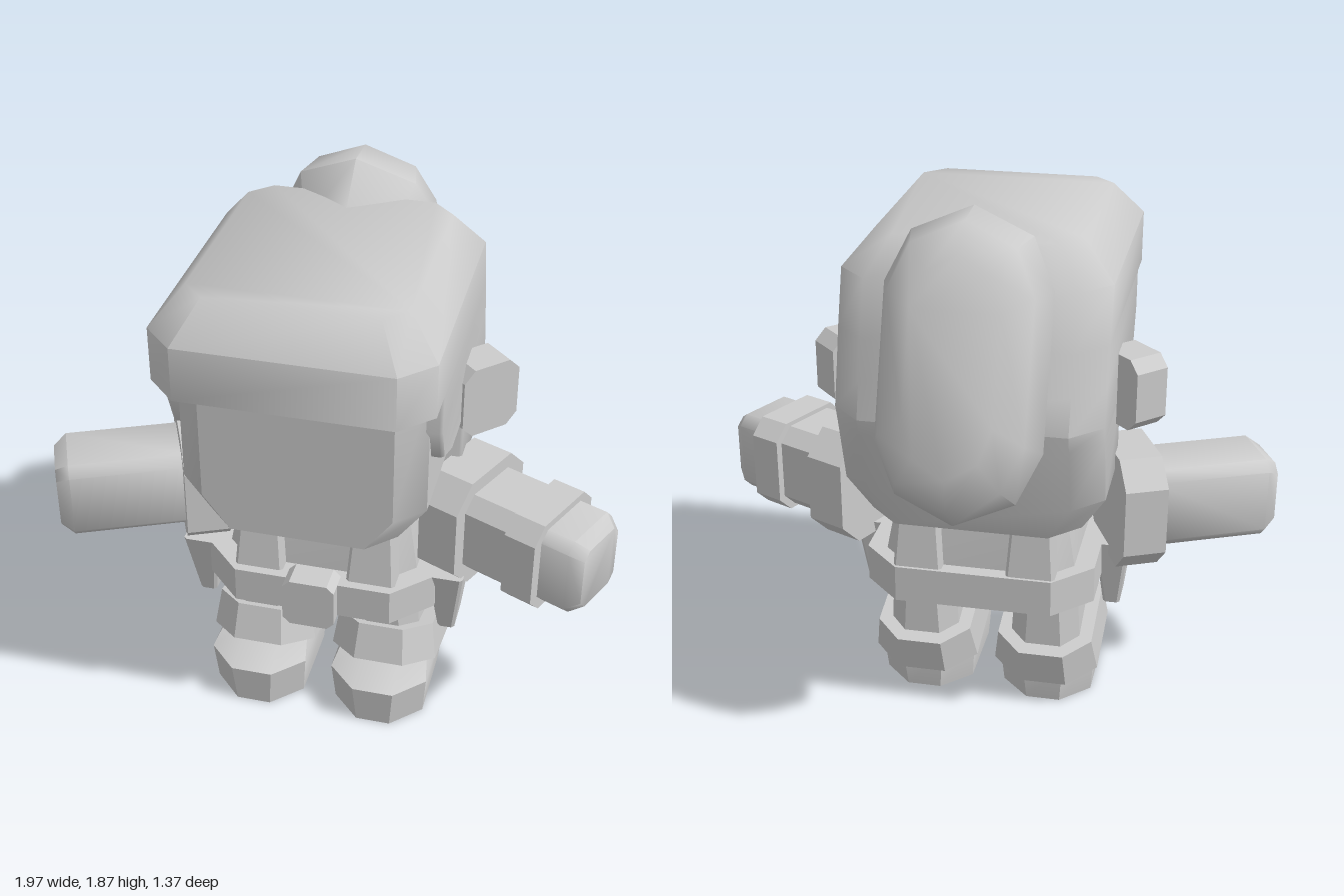
import * as THREE from 'three';
import { toCreasedNormals } from 'three/addons/utils/BufferGeometryUtils.js';

const V = (x, y, z) => new THREE.Vector3(x, y, z);

// Eight-sided ring: a rectangle with front and back corners cut off.
function ring(y, hx, zf, zb, cf = 0.08, cb = cf) {
  return [
    V(hx, y, zf - cf), V(hx, y, zb + cb), V(hx - cb, y, zb), V(cb - hx, y, zb),
    V(-hx, y, zb + cb), V(-hx, y, zf - cf), V(cf - hx, y, zf), V(hx - cf, y, zf),
  ];
}

// Skin a stack of rings, bottom to top, and cap both ends.
function loft(rings, crease = 0.6) {
  const pos = [];
  const tri = (a, b, c) => {
    const area = b.clone().sub(a).cross(c.clone().sub(a)).length();
    if (area > 1e-7) pos.push(...a.toArray(), ...b.toArray(), ...c.toArray());
  };
  const n = rings[0].length;
  for (let r = 0; r < rings.length - 1; r++) {
    const lo = rings[r], hi = rings[r + 1];
    for (let i = 0; i < n; i++) {
      const j = (i + 1) % n;
      tri(lo[i], lo[j], hi[j]);
      tri(lo[i], hi[j], hi[i]);
    }
  }
  const bottom = rings[0], top = rings[rings.length - 1];
  for (let i = 1; i < n - 1; i++) {
    tri(bottom[0], bottom[i + 1], bottom[i]);
    tri(top[0], top[i], top[i + 1]);
  }
  const geo = new THREE.BufferGeometry();
  geo.setAttribute('position', new THREE.Float32BufferAttribute(pos, 3));
  return toCreasedNormals(geo, crease);
}

export function createModel() {
  const model = new THREE.Group();
  model.name = 'figure';
  const grey = new THREE.MeshStandardMaterial({ color: 0xcccccc });
  grey.name = 'light grey';

  function add(name, rings, crease, parent = model) {
    const mesh = new THREE.Mesh(loft(rings, crease), grey);
    mesh.name = name;
    parent.add(mesh);
    return mesh;
  }

  // Group whose y axis points along a horizontal direction, x axis upward
  function aimed(name, origin, dir) {
    const g = new THREE.Group();
    g.name = name;
    const up = V(0, 1, 0);
    const d = dir.clone().normalize();
    g.quaternion.setFromRotationMatrix(
      new THREE.Matrix4().makeBasis(up, d, up.clone().cross(d)));
    g.position.copy(origin);
    model.add(g);
    return g;
  }

  // Hair with an overhanging fringe and side locks
  add('hair', [
    ring(0.77, 0.36, 0.07, -0.30, 0.01, 0.1),
    ring(0.90, 0.44, 0.07, -0.34, 0.01, 0.1),
    ring(1.14, 0.44, 0.07, -0.41, 0.01, 0.1),
    ring(1.14, 0.44, 0.29, -0.41, 0.01, 0.1),
    ring(1.20, 0.44, 0.43, -0.43, 0.01, 0.1),
    ring(1.32, 0.44, 0.48, -0.395, 0.01, 0.1),
    ring(1.45, 0.44, 0.48, -0.36, 0.01, 0.1),
    ring(1.45, 0.44, 0.69, -0.36, 0.1),
    ring(1.63, 0.44, 0.69, -0.30, 0.1),
    ring(1.75, 0.34, 0.58, -0.20, 0.07),
  ], 0.9);

  // Face block with a bevelled jaw
  add('face', [
    ring(0.90, 0.31, 0.56, -0.15, 0.09),
    ring(1.02, 0.40, 0.56, -0.15, 0.09),
    ring(1.50, 0.40, 0.56, -0.15, 0.09),
  ], 0.6);

  // Long rounded bun, leaning against the back of the head
  const bunRing = (y, w, h) => [
    [1, 0.5], [1, -0.5], [0.72, -0.83], [0, -1], [-0.72, -0.83], [-1, -0.5],
    [-1, 0.5], [-0.72, 0.83], [0, 1], [0.72, 0.83],
  ].reverse().map(([x, z]) => V(x * w, y, z * h + 1.175)).reverse();
  const bun = add('bun', [
    bunRing(0.68, 0.20, 0.43),
    bunRing(0.85, 0.27, 0.50),
    bunRing(0.975, 0.23, 0.445),
    bunRing(1.036, 0.14, 0.34),
  ], 0.95);
  bun.rotation.x = -1.218;

  // Torso and belt
  add('torso', [
    ring(0.46, 0.33, 0.31, -0.23, 0.08),
    ring(0.59, 0.33, 0.31, -0.23, 0.08),
    ring(0.92, 0.27, 0.27, -0.19, 0.08),
  ]);
  add('belt', [
    ring(0.46, 0.40, 0.39, -0.28, 0.13),
    ring(0.59, 0.40, 0.39, -0.28, 0.13),
  ]);
  const buckle = add('buckle', [
    ring(0, 0.09, 0.09, -0.09, 0.025),
    ring(0.10, 0.09, 0.09, -0.09, 0.025),
  ]);
  buckle.rotation.x = Math.PI / 2;
  buckle.position.set(0, 0.525, 0.34);

  for (const s of [1, -1]) {
    const side = s > 0 ? 'left' : 'right';

    // Strap over front and back of the torso
    add(side + 'Strap', [
      ring(0.58, 0.085, 0.36, -0.27, 0.01),
      ring(0.92, 0.06, 0.31, -0.235, 0.01),
    ]).position.x = s * 0.195;

    // Ear disc, turned half forward
    const ear = aimed(side + 'Ear', V(s * 0.525, 1.205, 0.065), V(s, 0, 1));
    add('earDisc', [
      ring(-0.125, 0.125, 0.108, -0.108, 0.04),
      ring(0, 0.125, 0.108, -0.108, 0.04),
    ], 0.5, ear);

    // Arm: shoulder plate, sleeve and blunt hand
    const arm = aimed(side + 'Arm', V(s * 0.55, 0.755, 0.11), V(s * 0.91, 0, 0.41));
    add('shoulderPlate', [
      ring(-0.15, 0.205, 0.2, -0.2, 0.085),
      ring(0, 0.205, 0.2, -0.2, 0.085),
    ], 0.5, arm);
    add('forearm', [
      ring(-0.02, 0.145, 0.135, -0.135, 0.035),
      ring(0.385, 0.145, 0.135, -0.135, 0.035),
      ring(0.43, 0.115, 0.105, -0.105, 0.03),
    ], 0.9, arm);

    // Gauntlet bands on the left arm only
    if (s > 0) {
      add('sleeve', [
        ring(-0.02, 0.155, 0.15, -0.15, 0.05),
        ring(0.17, 0.155, 0.15, -0.15, 0.05),
      ], 0.5, arm);
      add('wristBand', [
        ring(0.17, 0.17, 0.175, -0.175, 0.055),
        ring(0.285, 0.17, 0.175, -0.175, 0.055),
      ], 0.5, arm);
    }

    // Tapered pouch hanging from the belt
    add(side + 'Pouch', [
      ring(0.33, 0.03, 0.21, 0.07, 0.01),
      ring(0.59, 0.06, 0.27, 0.02, 0.01),
    ]).position.x = s * 0.435;

    // Leg
    add(side + 'Leg', [
      ring(0.12, 0.13, 0.26, -0.12, 0.06),
      ring(0.48, 0.11, 0.26, -0.12, 0.06),
    ]).position.x = s * 0.22;

    // Tilted boot cuff
    const cuff = add(side + 'BootCuff', [
      ring(-0.068, 0.187, 0.24, -0.24, 0.1),
      ring(0.068, 0.168, 0.235, -0.235, 0.09),
    ]);
    cuff.position.set(s * 0.22, 0.222, 0.075);
    cuff.rotation.x = -0.26;

    // Boot
    add(side + 'Boot', [
      ring(0, 0.16, 0.395, -0.10, 0.1),
      ring(0.15, 0.172, 0.41, -0.12, 0.1),
      ring(0.22, 0.14, 0.22, -0.11, 0.08),
    ], 0.6).position.x = s * 0.22;
  }
  return model;
}
